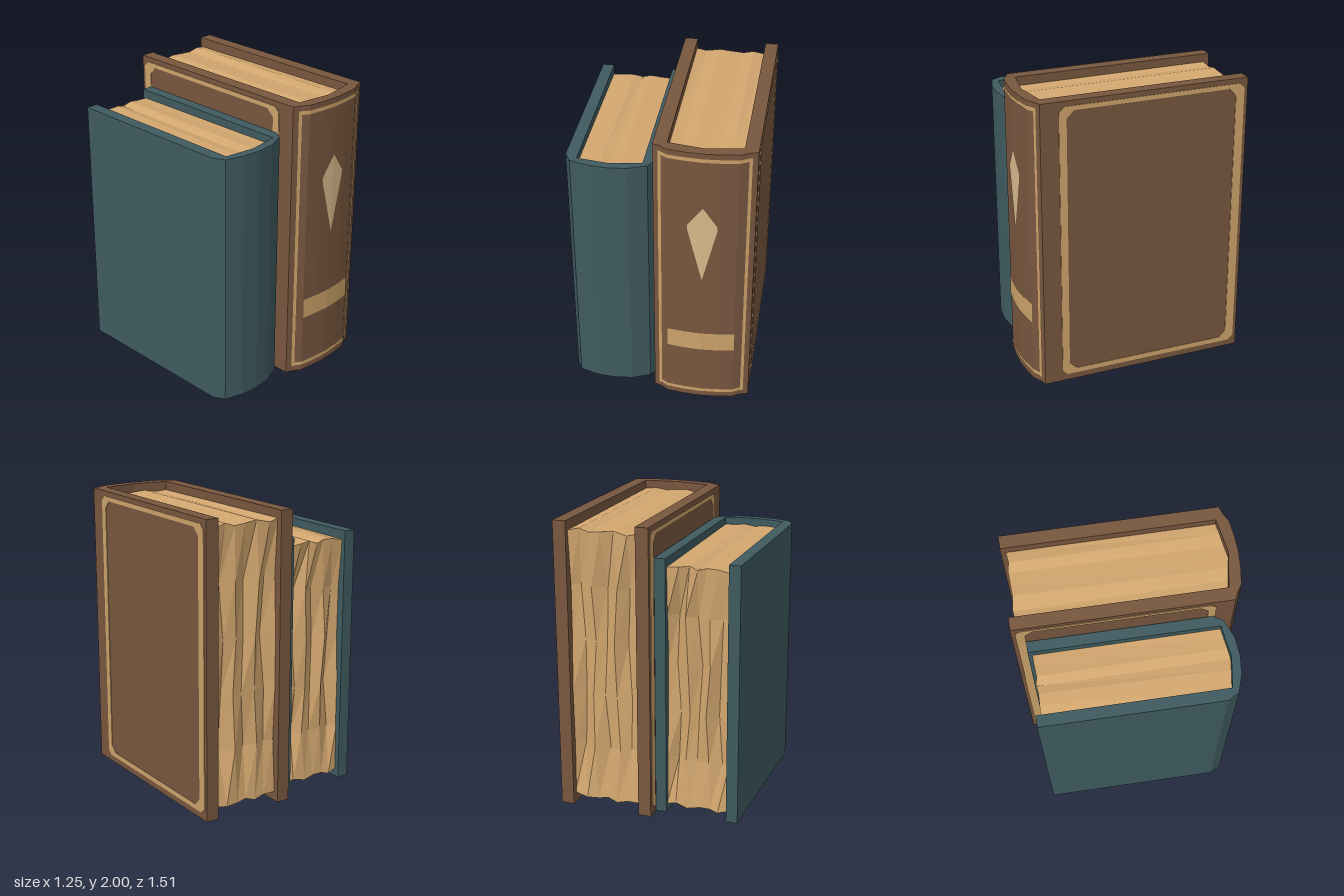
import * as THREE from 'three';

const material = (name, color) => {
  const m = new THREE.MeshStandardMaterial({ color });
  m.name = name;
  return m;
};

export function createModel() {
  const brown = material('brown leather', 0x78573f);
  const teal = material('teal cloth', 0x3f5b60);
  const paper = material('aged paper', 0xd3a76f);
  const gold = material('gold trim', 0xcda36a);
  const cream = material('cream inlay', 0xdabb8c);

  const add = (parent, name, geometry, mat) => {
    const mesh = new THREE.Mesh(geometry, mat);
    mesh.name = name;
    parent.add(mesh);
    return mesh;
  };

  // U-shaped binding: plan outline of [x, z] points, extruded upward
  const binding = (back, spine, inner, y0, y1) => {
    const first = spine[0], last = spine[spine.length - 1];
    const a = inner[0], b = inner[inner.length - 1];
    const outline = [[first[0], back], ...spine, [last[0], back], [b[0], back], ...[...inner].reverse(), [a[0], back]];
    const shape = new THREE.Shape(outline.map(([x, z]) => new THREE.Vector2(x, -z)));
    return new THREE.ExtrudeGeometry(shape, { depth: y1 - y0, bevelEnabled: false })
      .rotateX(-Math.PI / 2).translate(0, y0, 0);
  };

  // Page block with a bowed spine side and a rippled, faceted fore edge
  const pageBlock = (inner, back, y0, y1, seed) => {
    const x0 = inner[0][0], x1 = inner[2][0], front = inner[0][1], bulge = inner[1][1] - front;
    const cols = 6, rows = 5;
    const g = new THREE.BoxGeometry(1, 1, 1, cols, rows, 1);
    const p = g.attributes.position;
    const folds = [0.01, 0.045, 0.0, 0.04, 0.005, 0.05, 0.01];
    for (let i = 0; i < p.count; i++) {
      const u = p.getX(i) + 0.5, v = p.getY(i) + 0.5;
      const c = Math.round(u * cols), r = Math.round(v * rows);
      const inside = c > 0 && c < cols;
      const wave = Math.sin(c * 2.3 + r * 1.7 + seed);
      const isBack = p.getZ(i) < 0;
      let x = x0 - 0.005 + u * (x1 - x0 + 0.01);
      let y = y0 + v * (y1 - y0);
      let z = front + 0.005 + bulge * (1 - Math.abs(2 * u - 1));
      if (isBack) {
        const edge = r === 0 || r === rows;
        z = back + (edge ? 0.006 + 0.006 * wave : folds[c] + 0.012 + 0.012 * wave);
        if (inside) x += 0.016 * Math.sin(r * 2.1 + c + seed);
        if (edge) y += 0.012 * wave;
      } else if (inside && (r === 0 || r === rows)) {
        y += 0.008 * wave;
      }
      p.setXYZ(i, x, y, z);
    }
    const flat = g.toNonIndexed();
    flat.computeVertexNormals();
    return flat;
  };

  // Thin inlay that follows the spine; columns are [x, bottom, top]
  const spineInlay = (spine, columns) => {
    const lerpAt = (pts, x, k) => {
      let i = 0;
      while (i < pts.length - 2 && x > pts[i + 1][0]) i++;
      const [a, b] = [pts[i], pts[i + 1]];
      return a[k] + (b[k] - a[k]) * (x - a[0]) / (b[0] - a[0]);
    };
    const min = columns[0][0], max = columns[columns.length - 1][0];
    const xs = [...new Set([...columns.map(c => c[0]), ...spine.map(s => s[0]).filter(x => x > min && x < max)])]
      .sort((a, b) => a - b);
    const corner = (x, k) => [x, lerpAt(columns, x, k), lerpAt(spine, x, 1) + 0.004];
    const pos = [];
    for (let i = 0; i < xs.length - 1; i++) {
      const a = corner(xs[i], 1), b = corner(xs[i + 1], 1);
      const c = corner(xs[i + 1], 2), d = corner(xs[i], 2);
      pos.push(...a, ...b, ...c, ...a, ...c, ...d);
    }
    const g = new THREE.BufferGeometry();
    g.setAttribute('position', new THREE.Float32BufferAttribute(pos, 3));
    g.computeVertexNormals();
    return g;
  };

  // Rectangle with clipped corners, in [z, y]
  const clipped = (Path, z0, z1, y0, y1, c) => new Path([
    [z0 + c, y0], [z1 - c, y0], [z1, y0 + c], [z1, y1 - c],
    [z1 - c, y1], [z0 + c, y1], [z0, y1 - c], [z0, y0 + c],
  ].map(q => new THREE.Vector2(...q)));

  const model = new THREE.Group();
  model.name = 'books';

  // Tall brown book
  const tall = new THREE.Group();
  tall.name = 'tallBook';
  model.add(tall);
  const tallSpine = [[-0.04, 0.68], [0.01, 0.7], [0.06, 0.733], [0.17, 0.748], [0.285, 0.755],
    [0.4, 0.748], [0.51, 0.733], [0.57, 0.7], [0.62, 0.685]];
  const tallInner = [[0.05, 0.65], [0.29, 0.69], [0.53, 0.65]];
  add(tall, 'tallCover', binding(-0.755, tallSpine, tallInner, 0, 2), brown);
  add(tall, 'tallPages', pageBlock(tallInner, -0.725, 0.06, 1.94, 0.4), paper);

  // Gold border on both covers
  const border = clipped(THREE.Shape, -0.56, 0.73, 0.045, 1.965, 0.035);
  border.holes.push(clipped(THREE.Path, -0.51, 0.67, 0.08, 1.935, 0.05));
  for (const [name, x] of [['leftCoverBorder', 0.617], ['rightCoverBorder', -0.044]]) {
    const g = new THREE.ExtrudeGeometry(border, { depth: 0.007, bevelEnabled: false });
    add(tall, name, g.rotateY(Math.PI / 2).translate(x, 0, 0), gold);
  }

  // Spine border, label and diamond
  const spineBars = [
    [[-0.005, 0.04, 0.04], [0.015, 0.04, 1.965]],
    [[0.565, 0.04, 1.965], [0.585, 0.04, 1.965]],
    [[0.015, 1.94, 1.965], [0.565, 1.94, 1.965]],
    [[0.015, 0.045, 0.07], [0.565, 0.045, 0.07]],
  ];
  spineBars[0][0][2] = 1.965;
  spineBars.forEach((bar, i) => add(tall, 'spineBorder' + (i + 1), spineInlay(tallSpine, bar), gold));
  add(tall, 'spineLabel', spineInlay(tallSpine, [[0.06, 0.43, 0.572], [0.515, 0.43, 0.575]]), gold);
  add(tall, 'spineDiamond', spineInlay(tallSpine,
    [[0.19, 1.43, 1.46], [0.29, 1.03, 1.6], [0.385, 1.43, 1.46]]), cream);

  // Short teal book
  const short = new THREE.Group();
  short.name = 'shortBook';
  model.add(short);
  const shortSpine = [[-0.625, 0.545], [-0.585, 0.62], [-0.46, 0.66], [-0.335, 0.672],
    [-0.21, 0.66], [-0.085, 0.61], [-0.045, 0.545]];
  const shortInner = [[-0.545, 0.585], [-0.335, 0.615], [-0.12, 0.585]];
  add(short, 'shortCover', binding(-0.67, shortSpine, shortInner, 0.01, 1.787), teal);
  add(short, 'shortPages', pageBlock(shortInner, -0.645, 0.06, 1.735, 2.1), paper);

  return model;
}
